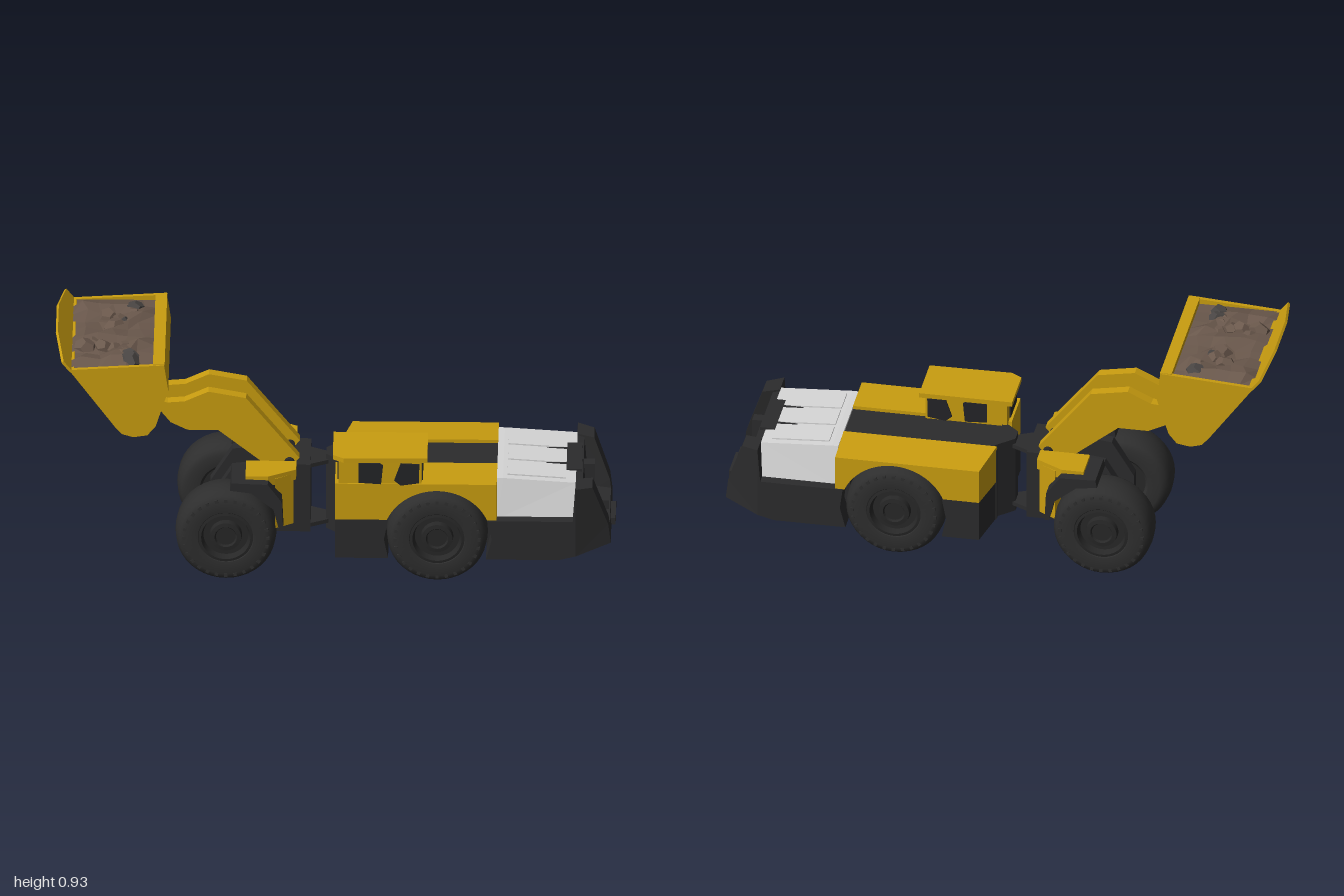
import * as THREE from 'three';
import { toCreasedNormals } from 'three/addons/utils/BufferGeometryUtils.js';

const material = (name, color, flatShading = false) => {
  const m = new THREE.MeshStandardMaterial({ color, flatShading });
  m.name = name;
  return m;
};

export function createModel() {
  const model = new THREE.Group();
  model.name = 'undergroundLoader';
  const yellow = material('yellow paint', 0xc99d10);
  const black = material('black steel', 0x2b2b2c);
  const rubber = material('tyre rubber', 0x2e2e2e);
  const rimGrey = material('rim grey', 0x272727);
  const silver = material('silver hood', 0xd6d6d6);
  const glass = material('dark glass', 0x232427);
  const rock = material('brown rock', 0x6a584c, true);
  rock.side = THREE.DoubleSide;
  const darkRock = material('grey rock', 0x4a4644, true);

  const add = (name, geo, mat, parent = model) => {
    const mesh = new THREE.Mesh(geo, mat);
    mesh.name = name;
    parent.add(mesh);
    return mesh;
  };
  const box = (name, x0, x1, y0, y1, z0, z1, mat) =>
    add(name, new THREE.BoxGeometry(x1 - x0, y1 - y0, z1 - z0)
      .translate((x0 + x1) / 2, (y0 + y1) / 2, (z0 + z1) / 2), mat);
  const toShape = (pts) => pts instanceof THREE.Shape ? pts
    : new THREE.Shape(pts.map(([x, y]) => new THREE.Vector2(x, y)));
  // Side profile (x, y) extruded across z, optionally reshaped by a rule
  const slab = (name, pts, z0, z1, mat, rule) => {
    const geo = new THREE.ExtrudeGeometry(toShape(pts), { depth: z1 - z0, bevelEnabled: false, curveSegments: 20 });
    geo.translate(0, 0, z0);
    if (rule) {
      const p = geo.attributes.position, v = new THREE.Vector3();
      for (let i = 0; i < p.count; i++) {
        rule(v.fromBufferAttribute(p, i));
        p.setXYZ(i, v.x, v.y, v.z);
      }
      geo.computeVertexNormals();
    }
    return add(name, geo, mat);
  };
  // Plan outline (x, z) extruded between two heights
  const plan = (name, pts, y0, y1, mat) =>
    add(name, new THREE.ExtrudeGeometry(toShape(pts.map(([x, z]) => [x, -z])), { depth: y1 - y0, bevelEnabled: false })
      .rotateX(-Math.PI / 2).translate(0, y0, 0), mat);
  let seed = 7;
  const rand = () => (seed = (seed * 16807) % 2147483647) / 2147483647;

  // Wheels
  const ring = (pts) => toCreasedNormals(new THREE.LatheGeometry(
    pts.map(([r, y]) => new THREE.Vector2(r, y)), 40).rotateX(Math.PI / 2), 0.6);
  const tyreGeo = ring([[0.09, -0.06], [0.1, -0.07], [0.145, -0.076], [0.165, -0.066], [0.177, -0.045],
    [0.181, 0], [0.177, 0.045], [0.165, 0.066], [0.145, 0.076], [0.1, 0.07], [0.09, 0.06]]);
  const rimGeo = ring([[0, -0.05], [0.092, -0.05], [0.098, 0], [0.098, 0.068], [0.088, 0.07],
    [0.08, 0.045], [0.058, 0.045], [0.055, 0.066], [0.04, 0.068], [0.035, 0.06], [0, 0.06]]);
  const lugGeo = new THREE.BoxGeometry(0.012, 0.012, 0.008);
  for (const [x, place] of [[-0.39, 'front'], [0.365, 'rear']]) {
    for (const s of [1, -1]) {
      const wheel = new THREE.Group();
      wheel.name = `${place}${s > 0 ? 'Left' : 'Right'}Wheel`;
      wheel.position.set(x, 0.183, 0.18 * s);
      if (s < 0) wheel.rotation.y = Math.PI;
      add('tyre', tyreGeo, rubber, wheel);
      add('rim', rimGeo, rimGrey, wheel);
      for (let i = 0; i < 28; i++) {
        const a = i / 28 * Math.PI * 2;
        const lug = add('sidewallLug', lugGeo, rubber, wheel);
        lug.position.set(0.15 * Math.cos(a), 0.15 * Math.sin(a), 0.073);
        lug.rotation.z = a;
      }
      model.add(wheel);
    }
    add(`${place}Axle`, new THREE.CylinderGeometry(0.034, 0.034, 0.28, 16).rotateX(Math.PI / 2).translate(x, 0.183, 0), black);
  }

  // Front frame, fenders and arm mounts
  plan('frontFrame', [[-0.25, -0.1], [-0.12, -0.1], [-0.09, -0.08], [-0.09, 0.08], [-0.12, 0.1], [-0.25, 0.1]], 0.13, 0.4, black);
  for (const s of [1, -1]) {
    const span = (a, b) => s > 0 ? [a, b] : [-b, -a];
    slab('frontSidePlate', [[-0.45, 0.15], [-0.2, 0.13], [-0.2, 0.4], [-0.37, 0.38], [-0.45, 0.25]], ...span(0.055, 0.095), black);
    plan('yellowFender', [[-0.32, 0.1 * s], [-0.32, 0.22 * s], [-0.24, 0.22 * s], [-0.14, 0.165 * s], [-0.14, 0.1 * s]], 0.375, 0.415, yellow);
    plan('fenderBody', [[-0.215, 0.1 * s], [-0.215, 0.21 * s], [-0.15, 0.17 * s], [-0.15, 0.1 * s]], 0.2, 0.4, yellow);
    slab('wheelArch', [[-0.375, 0.375], [-0.3, 0.365], [-0.22, 0.3], [-0.2, 0.22], [-0.185, 0.22], [-0.19, 0.33], [-0.24, 0.4], [-0.37, 0.405]],
      ...span(0.1, 0.255), black);
    box('rearFenderPlate', -0.15, -0.09, 0.13, 0.4, ...span(0.07, 0.1), black);
    slab('liftArm', [[-0.66, 0.65], [-0.59, 0.56], [-0.53, 0.53], [-0.42, 0.53], [-0.26, 0.4], [-0.15, 0.395],
      [-0.13, 0.42], [-0.32, 0.66], [-0.455, 0.685], [-0.54, 0.645], [-0.6, 0.64]], ...span(0.047, 0.085), yellow);
    slab('bucketBracket', [[-0.67, 0.62], [-0.635, 0.64], [-0.605, 0.73], [-0.63, 0.73]], ...span(0.045, 0.085), yellow);
    add('armPivot', new THREE.CylinderGeometry(0.018, 0.018, 0.06, 14).rotateX(Math.PI / 2).translate(-0.165, 0.405, 0.07 * s), black);
  }

  // Articulated hitch
  for (const y of [0.13, 0.37])
    plan('hitchPlate', [[-0.12, -0.08], [-0.01, -0.025], [0.02, -0.025], [0.02, 0.025], [-0.01, 0.025], [-0.12, 0.08]], y, y + 0.015, black);
  plan('hitchPost', [[-0.035, -0.025], [0.03, -0.085], [0.03, 0.085], [-0.035, 0.025]], 0.105, 0.405, black);

  // Bucket
  const outer = [[-0.95, 0.87], [-0.785, 0.64], [-0.76, 0.612], [-0.72, 0.6], [-0.67, 0.608], [-0.64, 0.645], [-0.595, 0.79], [-0.61, 0.892]];
  const inner = [[-0.626, 0.89], [-0.611, 0.79], [-0.654, 0.655], [-0.68, 0.624], [-0.72, 0.616], [-0.75, 0.626], [-0.773, 0.65], [-0.932, 0.872]];
  slab('bucketShell', [...outer, ...inner], -0.265, 0.265, yellow);
  for (const z of [-0.275, 0.26]) slab('bucketSide', outer, z, z + 0.015, yellow);
  box('bucketRim', -0.65, -0.608, 0.872, 0.893, -0.27, 0.27, yellow);
  const lip = new THREE.ExtrudeGeometry(toShape([[-0.275, -0.01], [0.275, -0.01], [0.275, 0.04], [0.1, 0.078], [-0.1, 0.078], [-0.275, 0.04]]),
    { depth: 0.01, bevelEnabled: false });
  lip.applyMatrix4(new THREE.Matrix4().makeBasis(new THREE.Vector3(0, 0, 1), new THREE.Vector3(-0.62, 0.785, 0),
    new THREE.Vector3(-0.785, -0.62, 0)).setPosition(-0.944, 0.874, 0));
  add('bucketLip', lip, yellow);

  // Rock load
  const load = new THREE.PlaneGeometry(0.3, 0.52, 6, 9).rotateX(-Math.PI / 2).translate(-0.795, 0.87, 0);
  const lp = load.attributes.position;
  for (let i = 0; i < lp.count; i++) {
    const edge = Math.abs(lp.getX(i) + 0.795) > 0.14 || Math.abs(lp.getZ(i)) > 0.25;
    if (!edge) lp.setXYZ(i, lp.getX(i) + (rand() - 0.5) * 0.03, 0.865 + rand() * 0.03, lp.getZ(i) + (rand() - 0.5) * 0.03);
  }
  add('rockLoad', load, rock);
  for (let i = 0; i < 16; i++) {
    const stone = add('stone', new THREE.DodecahedronGeometry(0.025 + rand() * 0.02), i % 4 ? rock : darkRock);
    stone.position.set(-0.9 + rand() * 0.19, 0.867, -0.21 + rand() * 0.42);
    stone.rotation.set(rand() * 3, rand() * 3, rand() * 3);
    stone.scale.y = 0.75;
  }

  // Rear body with wheel arches
  box('rearChassis', 0.02, 0.88, 0.105, 0.392, -0.1, 0.1, black);
  const archX = 0.365, archR = 0.195, a0 = Math.asin((0.26 - 0.183) / archR);
  const panel = toShape([[0, 0.26], [0, 0.405], [0.578, 0.405], [0.578, 0.26]]);
  panel.lineTo(archX + archR * Math.cos(a0), 0.26);
  panel.absarc(archX, 0.183, archR, a0, Math.PI - a0, false);
  const chamfer = (v) => { if (v.x < 0.03) v.x = v.z < -0.2 ? 0.055 : 0.02; };
  const slope = (v) => { chamfer(v); if (v.z < -0.2 && v.y > 0.4) v.y = 0.39; };
  const lower = [[0, 0.105], [0.19, 0.105], [0.175, 0.18], [0.19, 0.26], [0, 0.26]];
  slab('leftBodyPanel', panel, 0.085, 0.25, yellow);
  slab('rightBodyPanel', panel, -0.25, -0.09, yellow, slope);
  slab('leftLowerBox', lower, 0.08, 0.25, black);
  slab('rightLowerBox', lower, -0.25, -0.08, black, chamfer);

  // Cab
  box('cab', 0.012, 0.31, 0.4, 0.492, 0.06, 0.245, yellow);
  plan('cabRoof', [[-0.008, 0.05], [0.33, 0.05], [0.33, 0.245], [0.03, 0.25], [-0.008, 0.225]], 0.49, 0.508, yellow);
  const paneA = [[0.085, 0.41], [0.165, 0.405], [0.172, 0.48], [0.16, 0.488], [0.085, 0.488]];
  const paneB = [[0.212, 0.42], [0.235, 0.4], [0.3, 0.41], [0.302, 0.485], [0.235, 0.488]];
  for (const z of [0.246, 0.055])
    for (const pane of [paneA, paneB]) slab('sideWindow', pane, z, z + 0.006, glass);
  for (const x of [0.308, 0.008]) box('endWindow', x, x + 0.006, 0.408, 0.488, 0.108, 0.222, glass);

  // Engine hood with panel ribs
  slab('engineHood', [[0.578, 0.25], [0.86, 0.25], [0.86, 0.385], [0.6, 0.402], [0.578, 0.402]], -0.22, 0.22, silver,
    (v) => { if (v.y > 0.3) v.z *= 0.87; });
  for (const z of [-0.115, 0, 0.115])
    add('hoodPanel', new THREE.BoxGeometry(0.21, 0.006, 0.1).rotateZ(-0.065).translate(0.72, 0.396, z), silver);

  // Rear counterweight, tapered towards the back
  const taper = (v) => { if (v.x > 0.86) v.z *= 1 - 0.2 * Math.min(1, (v.x - 0.86) / 0.11); };
  const wing = [[0.54, 0.105], [0.8, 0.105], [0.86, 0.12], [0.985, 0.15], [0.976, 0.225], [0.92, 0.385], [0.86, 0.39], [0.85, 0.26], [0.55, 0.26], [0.56, 0.183]];
  slab('leftCounterweight', wing, 0.17, 0.255, black, taper);
  slab('rightCounterweight', wing, -0.255, -0.17, black, taper);
  slab('middleCounterweight', [[0.54, 0.105], [0.8, 0.105], [0.86, 0.12], [0.985, 0.15], [0.98, 0.19], [0.9, 0.19], [0.885, 0.38], [0.85, 0.385], [0.85, 0.25], [0.54, 0.25]],
    -0.17, 0.17, black);
  box('towHitch', 0.96, 1, 0.15, 0.175, -0.065, 0.065, black);
  box('towBlock', 0.9, 0.975, 0.175, 0.225, -0.025, 0.025, black);
  box('recessPost', 0.885, 0.925, 0.19, 0.37, -0.02, 0.02, black);
  return model;
}
